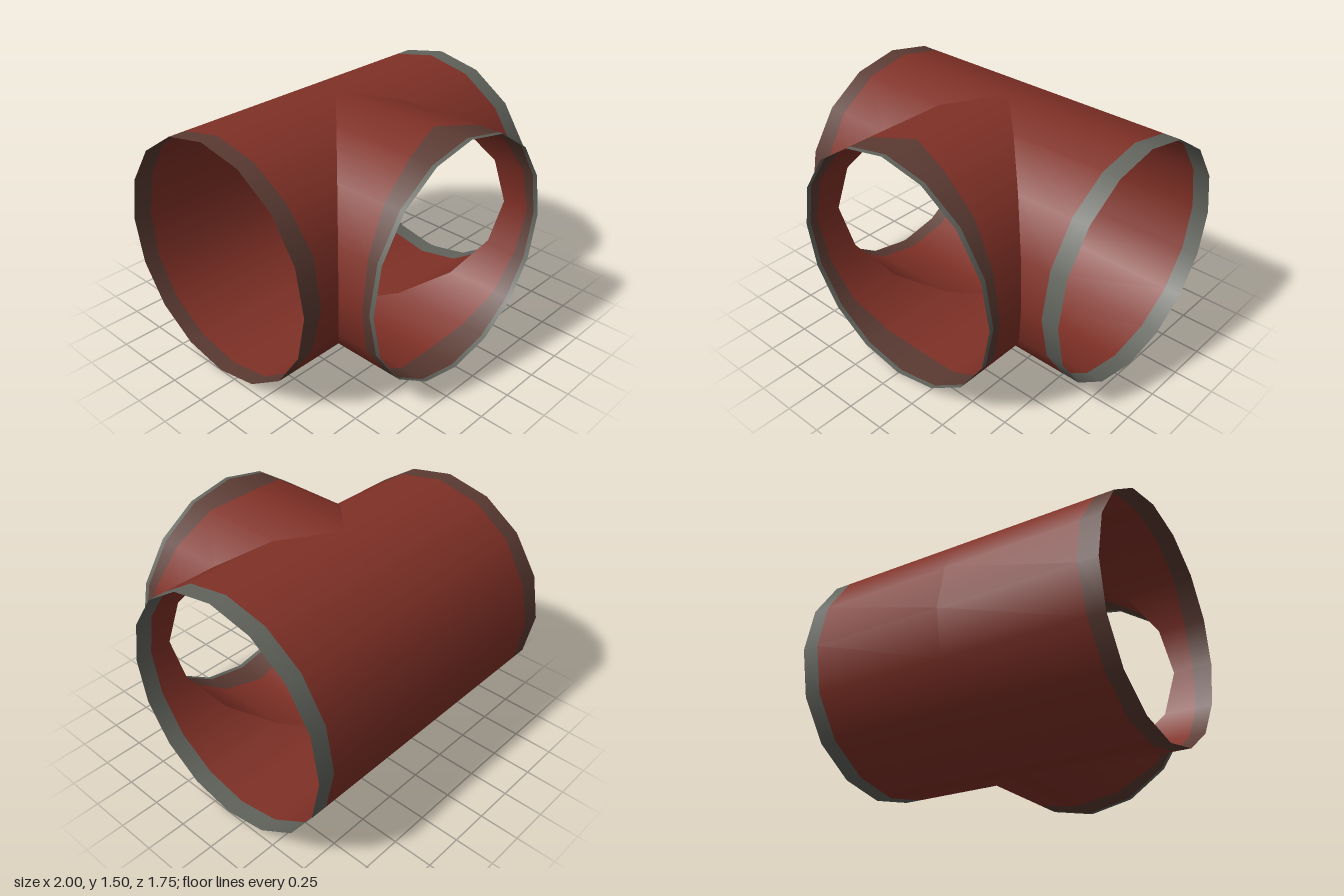
import * as THREE from 'three';

const R = 0.75, SIDES = 16, AXIS_Y = 0.75, AXIS_Z = -0.125;

function material(name, color) {
  const m = new THREE.MeshStandardMaterial({ color, side: THREE.DoubleSide });
  m.name = name;
  return m;
}

// Thin-walled tube around local x; from(i) and to(i) give its ends at each corner
function sleeve(name, mat, from, to) {
  const pos = [], nor = [], idx = [];
  for (let i = 0; i <= SIDES; i++) {
    const t = (i / SIDES) * Math.PI * 2;
    const c = Math.cos(t), s = Math.sin(t);
    for (const end of [from, to]) {
      pos.push(end(i, s), R * c, R * s);
      nor.push(0, c, s);
    }
    if (i < SIDES) {
      const a = i * 2;
      idx.push(a, a + 2, a + 3, a, a + 3, a + 1);
    }
  }
  const g = new THREE.BufferGeometry();
  g.setAttribute('position', new THREE.Float32BufferAttribute(pos, 3));
  g.setAttribute('normal', new THREE.Float32BufferAttribute(nor, 3));
  g.setIndex(idx);
  const mesh = new THREE.Mesh(g, mat);
  mesh.name = name;
  return mesh;
}

export function createModel() {
  const red = material('red paint', 0x7f3026);
  const worn = material('worn paint', 0x5a3a32);
  const grey = material('bare metal', 0x60625b);

  const at = (v) => () => v;
  // Uneven paint edges, given from top to bottom and mirrored round the pipe
  const wave = (list) => (i) => list[i <= 8 ? i : 16 - i];
  const wornEdge = wave([-0.89, -0.89, -0.885, -0.87, -0.88, -0.895, -0.9, -0.9, -0.9]);
  const branchEdge = wave([0.62, 0.7, 0.74, 0.78, 0.795, 0.775, 0.75, 0.69, 0.65]);

  // Mitred opening of the main pipe, only on its front half
  const cut = (sign) => (i, s) => sign * R * Math.max(0, s);

  const main = new THREE.Group();
  main.name = 'mainPipe';
  main.position.set(0, AXIS_Y, AXIS_Z);
  main.add(
    sleeve('rightRim', worn, at(-1), wornEdge),
    sleeve('rightHalf', red, wornEdge, cut(-1)),
    sleeve('leftHalf', red, cut(1), at(0.89)),
    sleeve('leftRim', grey, at(0.89), at(1)),
  );

  // Branch pipe: local x turned to face the front
  const branch = new THREE.Group();
  branch.name = 'branchPipe';
  branch.position.set(0, AXIS_Y, 0);
  branch.rotation.y = -Math.PI / 2;
  branch.add(
    sleeve('branchWall', red, (i, s) => AXIS_Z + R * Math.abs(s), branchEdge),
    sleeve('branchWornBand', worn, branchEdge, at(0.845)),
    sleeve('branchRim', grey, at(0.845), at(0.875)),
  );

  const model = new THREE.Group();
  model.name = 'pipeTee';
  model.add(main, branch);
  return model;
}
